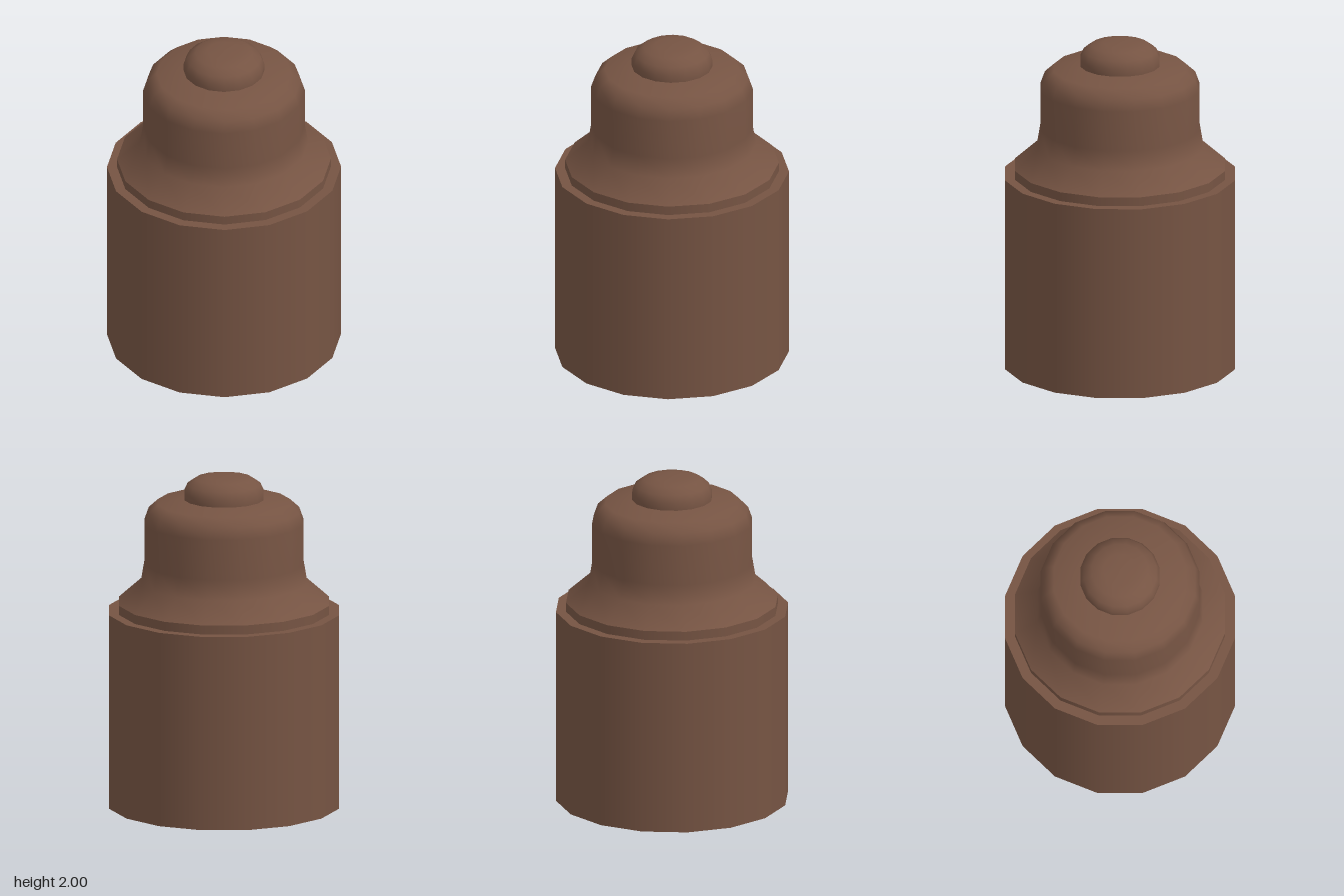
import * as THREE from 'three';

const SIDES = 16;

export function createModel() {
  const model = new THREE.Group();
  const brown = new THREE.MeshStandardMaterial({ color: 0x765443, side: THREE.DoubleSide });
  brown.name = 'brown';

  // Turned shell from [radius, height] pairs; separate shells keep creases sharp
  const turn = (name, profile) => {
    const points = profile.map(([r, y]) => new THREE.Vector2(r, y));
    const mesh = new THREE.Mesh(new THREE.LatheGeometry(points, SIDES), brown);
    mesh.name = name;
    model.add(mesh);
  };

  // Wide hollow body, open at the bottom
  turn('bodyWall', [[0.695, 0], [0.695, 1.18]]);
  turn('bodyLedge', [[0.695, 1.18], [0.635, 1.18]]);

  // Low collar, flared shoulder and rounded neck
  turn('collar', [[0.635, 1.18], [0.635, 1.235]]);
  turn('neck', [
    [0.635, 1.235], [0.5, 1.355], [0.48, 1.475], [0.48, 1.72],
    [0.455, 1.79], [0.4, 1.84], [0.24, 1.862],
  ]);

  // Rounded button on top
  turn('topButton', [
    [0.24, 1.862], [0.24, 1.905], [0.22, 1.95], [0.17, 1.985], [0.1, 1.998], [0, 2],
  ]);

  return model;
}
